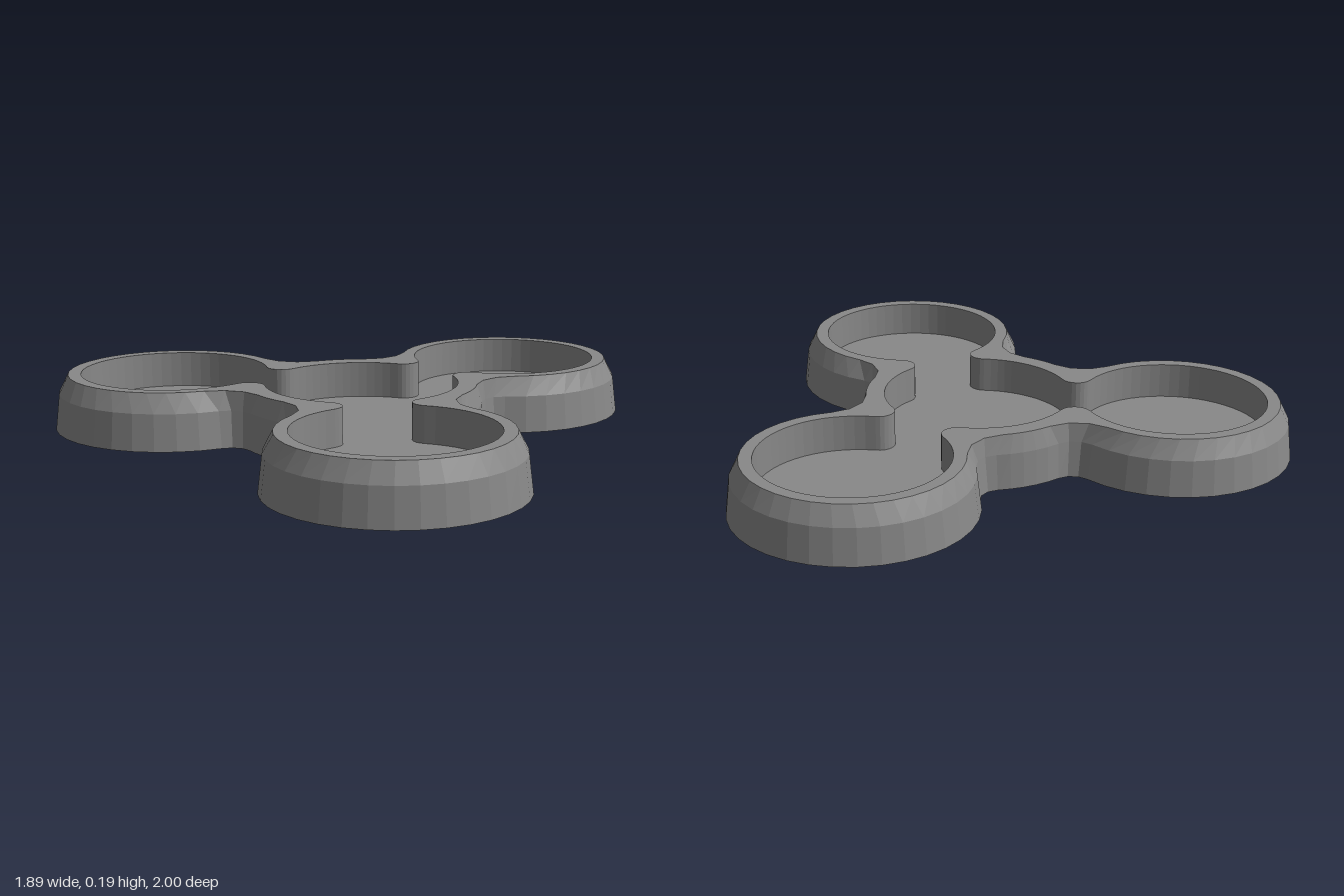
import * as THREE from 'three';

const HUB_X = -0.16;                       // centre of the middle disc
const REACH = 0.687;                       // hub centre to lobe centre
const ARMS = [0, 2.131, 2 * Math.PI - 2.131];
const COARSE = { fillet: 3, lobe: 26, hub: 5 };   // sides of the outer skin
const FINE = { fillet: 8, lobe: 48, hub: 14 };    // sides of the pocket

// Outline of hub and three lobes, joined by concave fillets, counter-clockwise from above.
function outline(hubR, lobeR, fillet, sides) {
  const pts = [];
  const p = hubR + fillet, q = lobeR + fillet;
  const a = (REACH * REACH + p * p - q * q) / (2 * REACH);
  const h = Math.sqrt(p * p - a * a);
  const phi = Math.atan2(h, a), psi = Math.atan2(h, REACH - a);
  // arc about a centre given in the arm's own frame, without its last point
  const arc = (cx, cy, r, from, to, n, turn) => {
    for (let i = 0; i < n; i++) {
      const t = from + (to - from) * i / n;
      pts.push(new THREE.Vector2(cx + r * Math.cos(t), cy + r * Math.sin(t))
        .rotateAround(new THREE.Vector2(), turn).add(new THREE.Vector2(HUB_X, 0)));
    }
  };
  ARMS.forEach((turn, k) => {
    const next = (ARMS[k + 1] ?? 2 * Math.PI) - turn;
    arc(a, -h, fillet, Math.PI - phi, psi, sides.fillet, turn);
    arc(REACH, 0, lobeR, psi - Math.PI, Math.PI - psi, sides.lobe, turn);
    arc(a, h, fillet, -psi, phi - Math.PI, sides.fillet, turn);
    arc(0, 0, hubR, phi, next - phi, sides.hub, turn);
  });
  return pts;
}

// Skin running through a stack of equal-count outlines.
function loft(levels) {
  const pos = [], index = [], n = levels[0].pts.length;
  for (const { pts, y } of levels) for (const v of pts) pos.push(v.x, y, -v.y);
  for (let l = 0; l < levels.length - 1; l++) {
    for (let i = 0; i < n; i++) {
      const j = (i + 1) % n, A = l * n, B = A + n;
      index.push(A + i, A + j, B + j, A + i, B + j, B + i);
    }
  }
  const g = new THREE.BufferGeometry();
  g.setAttribute('position', new THREE.Float32BufferAttribute(pos, 3));
  g.setIndex(index);
  g.computeVertexNormals();
  return g;
}

// Flat horizontal plate, optionally with a hole, facing up.
function plate(pts, hole) {
  const shape = new THREE.Shape(pts);
  if (hole) shape.holes.push(new THREE.Path(hole));
  return new THREE.ShapeGeometry(shape).rotateX(-Math.PI / 2);
}

export function createModel() {
  const group = new THREE.Group();
  group.name = 'threeLobedTray';
  const material = new THREE.MeshStandardMaterial({
    color: 0x888888, flatShading: true, side: THREE.DoubleSide,
  });
  const add = (name, geometry, y = 0) => {
    const mesh = new THREE.Mesh(geometry, material);
    mesh.name = name;
    mesh.position.y = y;
    group.add(mesh);
  };

  const TOP = 0.19, FLOOR = 0.065;
  const foot = outline(0.42, 0.418, 0.07, COARSE);
  const shoulder = outline(0.412, 0.403, 0.08, COARSE);
  const rimOuter = outline(0.395, 0.37, 0.15, COARSE);
  const pocket = outline(0.33, 0.325, 0.055, FINE);

  // tapered outer wall with sloping shoulder, open underneath
  add('outerWall', loft([
    { pts: foot, y: 0 }, { pts: shoulder, y: 0.125 }, { pts: rimOuter, y: TOP },
  ]));
  // flat top rim
  add('rim', plate(rimOuter, pocket), TOP);
  // upright wall of the pocket
  add('pocketWall', loft([{ pts: pocket, y: TOP }, { pts: pocket, y: FLOOR }]));
  // raised floor
  add('floor', plate(pocket), FLOOR);

  return group;
}
